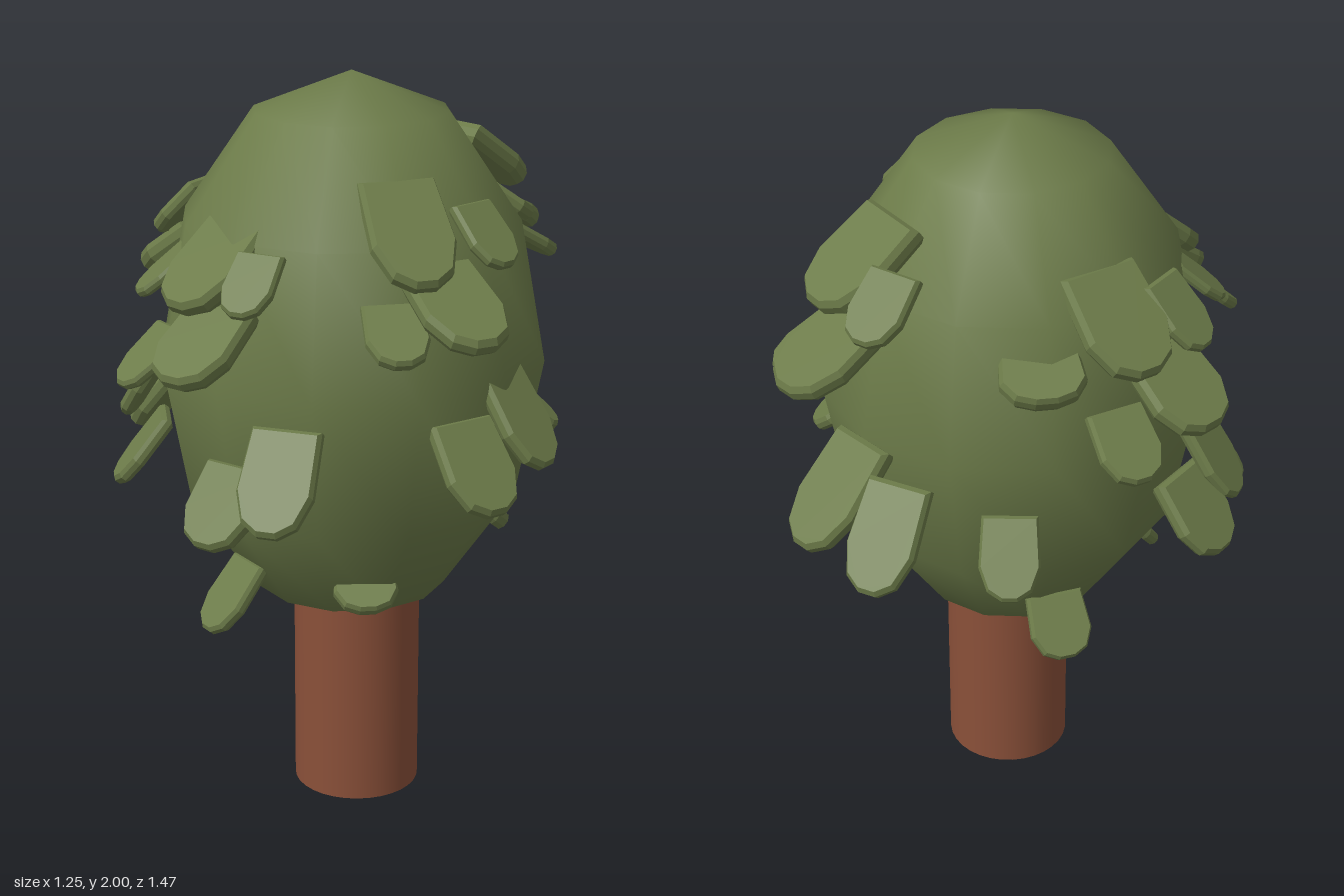
import * as THREE from 'three';

const CROWN_X = 0.035, CROWN_Z = 0.065;

// One leaf pad: straight inner edge, faceted round tip, chamfered rim (about 1 x 1 x 0.2)
function makeLeafGeometry() {
  const outline = [[-0.42, 0.46], [0.42, 0.46], [0.46, -0.1], [0.33, -0.36], [0.12, -0.46],
    [-0.12, -0.46], [-0.33, -0.36], [-0.46, -0.1]];
  const shape = new THREE.Shape(outline.map(([x, y]) => new THREE.Vector2(x, y)));
  const geometry = new THREE.ExtrudeGeometry(shape, {
    depth: 0.08, bevelEnabled: true, bevelThickness: 0.06, bevelSize: 0.04, bevelSegments: 1,
  });
  return geometry.translate(0, 0, -0.04);
}

// Leaf pads: x, y, z of the centre, width, length, downward slope in degrees
const FRONT_LEAVES = [
  [0.25, 1.66, 0.43, 0.22, 0.31, 45], [0.43, 1.65, 0.35, 0.14, 0.19, 45],
  [0.38, 1.5, 0.49, 0.22, 0.3, 28], [0.24, 1.44, 0.56, 0.16, 0.19, 35],
  [-0.25, 1.56, 0.45, 0.23, 0.28, 40], [-0.12, 1.55, 0.57, 0.14, 0.18, 45],
  [-0.24, 1.4, 0.61, 0.22, 0.25, 35], [-0.4, 1.34, 0.51, 0.13, 0.2, 40],
  [-0.04, 1.07, 0.64, 0.2, 0.28, 54], [-0.2, 0.97, 0.57, 0.2, 0.23, 50],
  [-0.24, 0.63, 0.34, 0.15, 0.22, 50], [0.13, 0.69, 0.36, 0.17, 0.15, 35],
  [0.43, 1.08, 0.46, 0.2, 0.26, 50], [0.52, 1.17, 0.31, 0.18, 0.28, 55],
];
const RIGHT_BACK_LEAVES = [
  [0.36, 0.76, -0.14, 0.2, 0.18, 40], [0.51, 1.1, -0.02, 0.16, 0.18, 40],
  [0.32, 1.72, -0.31, 0.24, 0.3, 35], [0.2, 1.69, -0.47, 0.16, 0.2, 40],
  [0.35, 1.54, -0.47, 0.22, 0.28, 25], [0.45, 1.48, -0.35, 0.15, 0.2, 30],
  [0.42, 1.64, -0.12, 0.17, 0.16, 35], [0.34, 1.13, -0.48, 0.21, 0.32, 45],
  [0.145, 1.13, -0.63, 0.19, 0.29, 50], [-0.13, 1.02, -0.47, 0.16, 0.22, 50],
  [-0.2, 0.66, -0.25, 0.17, 0.18, 50], [-0.18, 1.5, -0.36, 0.22, 0.16, 25],
];
const LEFT_LEAVES = [
  [-0.34, 1.61, -0.22, 0.24, 0.3, 40], [-0.4, 1.34, -0.35, 0.17, 0.2, 40],
  [-0.5, 1.45, -0.22, 0.23, 0.25, 35], [-0.46, 1.59, -0.09, 0.15, 0.21, 45],
  [-0.54, 1.03, -0.13, 0.2, 0.24, 50], [-0.54, 1.13, 0.01, 0.16, 0.27, 57],
  [-0.5, 1.0, 0.24, 0.15, 0.23, 52], [-0.42, 1.5, 0.27, 0.12, 0.18, 40],
];

export function createModel() {
  const model = new THREE.Group();
  model.name = 'tree';
  const foliage = new THREE.MeshStandardMaterial({ name: 'leaf green', color: 0x6c7b49 });
  const bark = new THREE.MeshStandardMaterial({ name: 'bark brown', color: 0x8a5039 });

  // Trunk, running a little way up into the crown
  const trunk = new THREE.Mesh(new THREE.CylinderGeometry(0.173, 0.173, 0.7, 32), bark);
  trunk.name = 'trunk';
  trunk.position.set(0.053, 0.35, 0.067);
  model.add(trunk);

  // Egg-shaped crown
  const crownGeometry = new THREE.SphereGeometry(1, 12, 6).scale(0.518, 0.75, 0.518);
  const crown = new THREE.Mesh(crownGeometry, foliage);
  crown.name = 'crown';
  crown.position.set(CROWN_X, 1.25, CROWN_Z);
  model.add(crown);

  // Leaf pads face away from the crown axis and droop outwards
  const leafGeometry = makeLeafGeometry();
  const addLeaves = (name, list) => {
    const cluster = new THREE.Group();
    cluster.name = name;
    list.forEach(([x, y, z, width, length, slope], i) => {
      const leaf = new THREE.Mesh(leafGeometry, foliage);
      leaf.name = `${name}${i + 1}`;
      leaf.position.set(x, y, z);
      leaf.scale.set(width, length, width * 1.2);
      leaf.rotation.order = 'YXZ';
      leaf.rotation.y = Math.atan2(x - CROWN_X, z - CROWN_Z);
      leaf.rotation.x = THREE.MathUtils.degToRad(slope - 90);
      cluster.add(leaf);
    });
    model.add(cluster);
  };
  addLeaves('frontLeaf', FRONT_LEAVES);
  addLeaves('backLeaf', RIGHT_BACK_LEAVES);
  addLeaves('sideLeaf', LEFT_LEAVES);

  return model;
}
